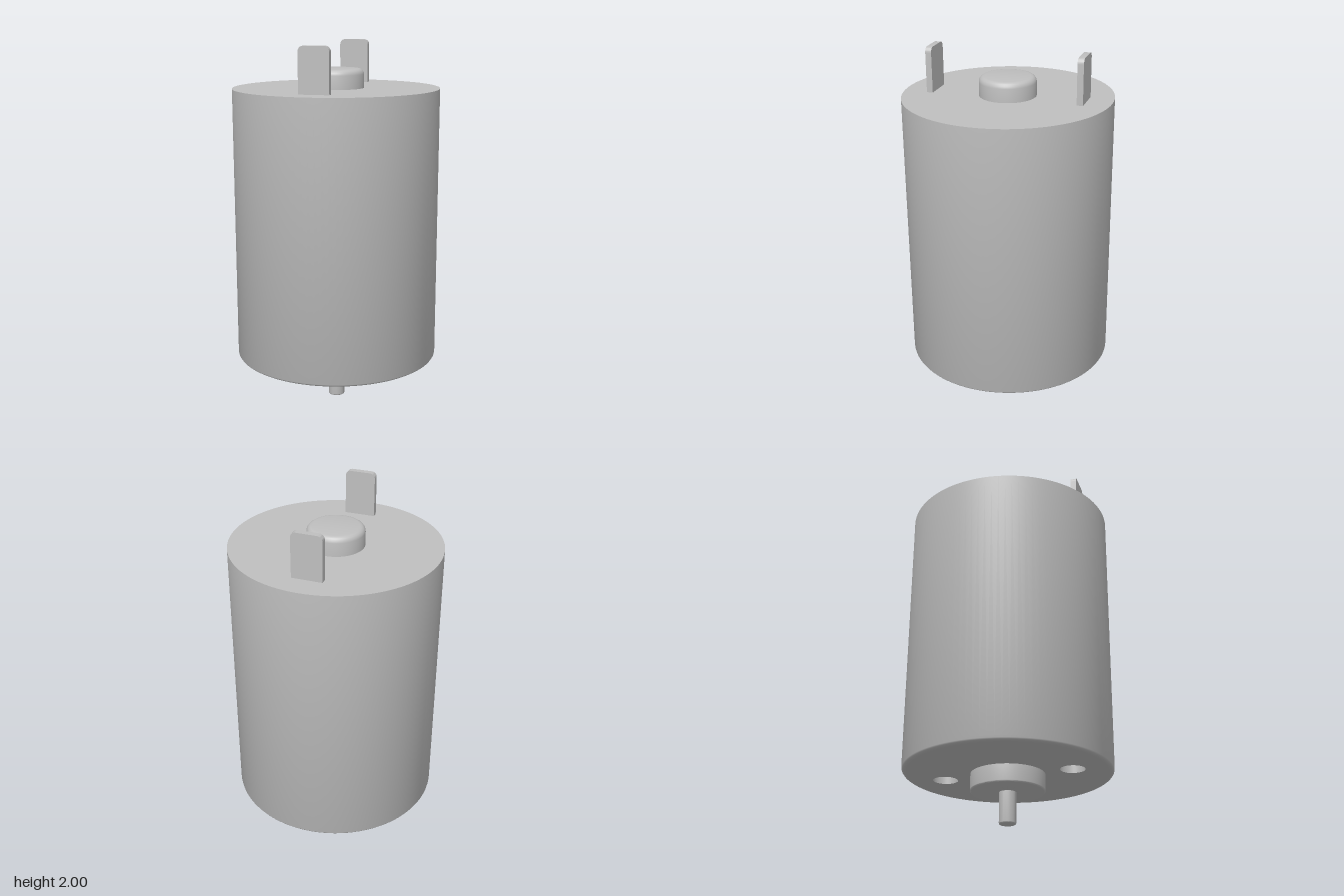
import * as THREE from 'three';
import { toCreasedNormals } from 'three/addons/utils/BufferGeometryUtils.js';

export function createModel() {
  const model = new THREE.Group();
  model.name = 'electricMotor';
  const metal = new THREE.MeshStandardMaterial({ color: 0xbfbfbf });
  metal.name = 'greyMetal';

  const add = (name, geometry, x = 0, y = 0, z = 0) => {
    const mesh = new THREE.Mesh(geometry, metal);
    mesh.name = name;
    mesh.position.set(x, y, z);
    model.add(mesh);
  };
  // Turned part from [radius, height] pairs
  const turned = (profile, segments = 64) =>
    toCreasedNormals(new THREE.LatheGeometry(profile.map(([r, y]) => new THREE.Vector2(r, y)), segments), 0.6);
  // Quarter-round edge, from the wall to the top face or the bottom face to the wall
  const round = (r, y, size, bottom) => [0, 1, 2, 3, 4].map((i) => {
    const a = (i / 4 - (bottom ? 1 : 0)) * Math.PI / 2;
    return [r - size + size * Math.cos(a), y + (bottom ? size : -size) + size * Math.sin(a)];
  });

  // Can: rounded lower rim, sharp upper rim
  const R = 0.557, base = 0.267, top = 1.76, rim = 0.022;
  add('can', turned([...round(R, base, rim, true), [R, top], [0, top]], 96));

  // Bottom plate with two screw holes
  const holeR = 0.066, holeZ = 0.35;
  const plate = new THREE.Shape().absarc(0, 0, R - rim, 0, Math.PI * 2);
  for (const s of [1, -1]) {
    plate.holes.push(new THREE.Path().absarc(0, s * holeZ, holeR, 0, Math.PI * 2, true));
    add('screwHole', turned([[0, 0.12], [holeR, 0.12], [holeR, 0]], 32), 0, base, s * holeZ);
  }
  add('bottomPlate', new THREE.ShapeGeometry(plate, 48).rotateX(Math.PI / 2), 0, base, 0);

  // Bearing housings and output shaft
  add('frontBearing', turned([[0, 0.172], ...round(0.197, 0.172, 0.01, true), [0.197, base]]));
  add('rearBearing', turned([[0.151, top], ...round(0.151, 1.863, 0.03, false), [0, 1.863]]));
  add('shaft', turned([[0, 0.003], ...round(0.045, 0.003, 0.008, true), [0.045, 0.175]], 32));

  // Terminal tabs with rounded upper corners
  const w = 0.081, h = 0.245, c = 0.028, thick = 0.033;
  const tab = new THREE.Shape();
  tab.moveTo(-w, -0.005);
  tab.lineTo(w, -0.005);
  tab.lineTo(w, h - c);
  tab.absarc(w - c, h - c, c, 0, Math.PI / 2);
  tab.absarc(-w + c, h - c, c, Math.PI / 2, Math.PI);
  tab.closePath();
  for (const s of [1, -1]) {
    const g = new THREE.ExtrudeGeometry(tab, { depth: thick, bevelEnabled: false, curveSegments: 6 });
    add('terminalTab', toCreasedNormals(g.translate(0, 0, -thick / 2), 0.6), 0, top - 0.005, s * 0.407);
  }

  // The motor leans very slightly about its middle
  const tilt = 0.0085;
  model.rotation.set(tilt, -0.0165, 0);
  model.position.set(0, 1 - Math.cos(tilt), -Math.sin(tilt));
  const group = new THREE.Group();
  group.name = 'motor';
  group.add(model);
  return group;
}
